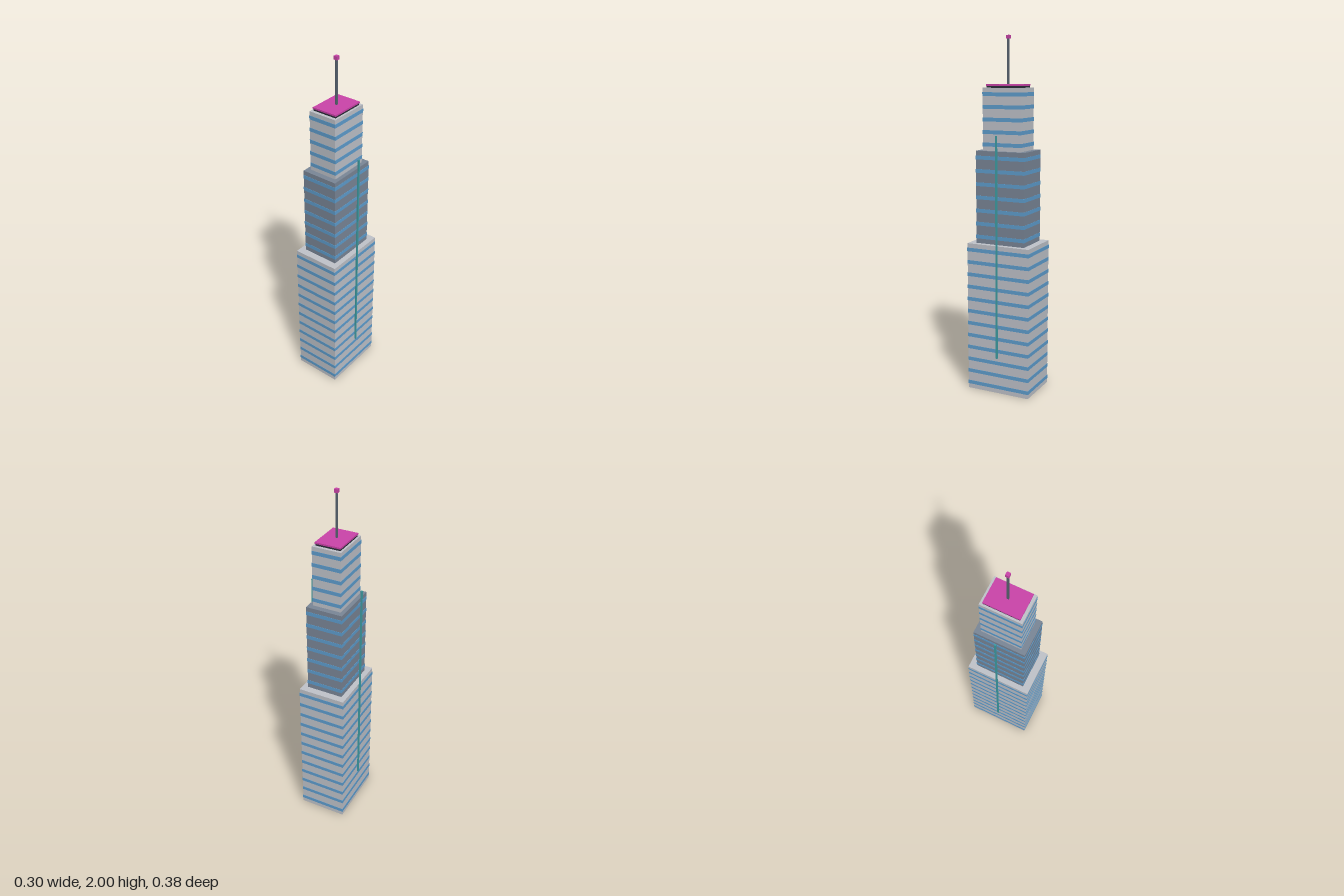
import * as THREE from 'three';

const mat = (name, color) => {
  const m = new THREE.MeshStandardMaterial({ color });
  m.name = name;
  return m;
};

export function createModel() {
  const tower = new THREE.Group();
  tower.name = 'skyscraper';
  const stone = mat('pale stone', 0xc1c4cb);
  const slate = mat('slate grey', 0x7b8798);
  const glass = mat('window blue', 0x5f9fd0);
  const magenta = mat('magenta', 0xcc44aa);
  const dark = mat('dark trim', 0x2a2d38);
  const steel = mat('mast steel', 0x5a6572);
  const teal = mat('teal', 0x3f9fa5);

  // Box given by width, depth and its bottom and top heights
  const box = (parent, name, w, d, y0, y1, material, x = 0) => {
    const mesh = new THREE.Mesh(new THREE.BoxGeometry(w, y1 - y0, d), material);
    mesh.position.set(x, (y0 + y1) / 2, 0);
    mesh.name = name;
    parent.add(mesh);
  };

  // Stepped tiers, each ringed by evenly spaced window bands
  const tiers = [
    { name: 'lowerTier', w: 0.272, d: 0.377, y0: 0, y1: 0.86, floors: 12, material: stone },
    { name: 'middleTier', w: 0.211, d: 0.294, y0: 0.86, y1: 1.379, floors: 7, material: slate },
    { name: 'upperTier', w: 0.165, d: 0.23, y0: 1.379, y1: 1.72, floors: 5, material: stone },
  ];
  for (const t of tiers) {
    const tier = new THREE.Group();
    tier.name = t.name;
    box(tier, t.name + 'Walls', t.w, t.d, t.y0, t.y1, t.material);
    const step = (t.y1 - t.y0) / t.floors;
    for (let i = 0; i < t.floors; i++) {
      const y = t.y0 + (i + 0.5) * step;
      box(tier, 'windowBand', t.w + 0.003, t.d + 0.003, y - 0.0105, y + 0.0105, glass);
    }
    tower.add(tier);
  }

  // Roof cap, mast and beacon
  box(tower, 'roofPlinth', 0.142, 0.194, 1.72, 1.73, dark);
  box(tower, 'roofCap', 0.147, 0.2, 1.73, 1.739, magenta);
  box(tower, 'mast', 0.01, 0.01, 1.739, 1.985, steel);
  box(tower, 'beacon', 0.02, 0.02, 1.98, 2, magenta);

  // Slim vertical rods standing clear of both sides
  for (const side of [-1, 1]) {
    box(tower, side > 0 ? 'leftRod' : 'rightRod', 0.009, 0.009, 0.212, 1.467, teal, side * 0.147);
  }
  return tower;
}
